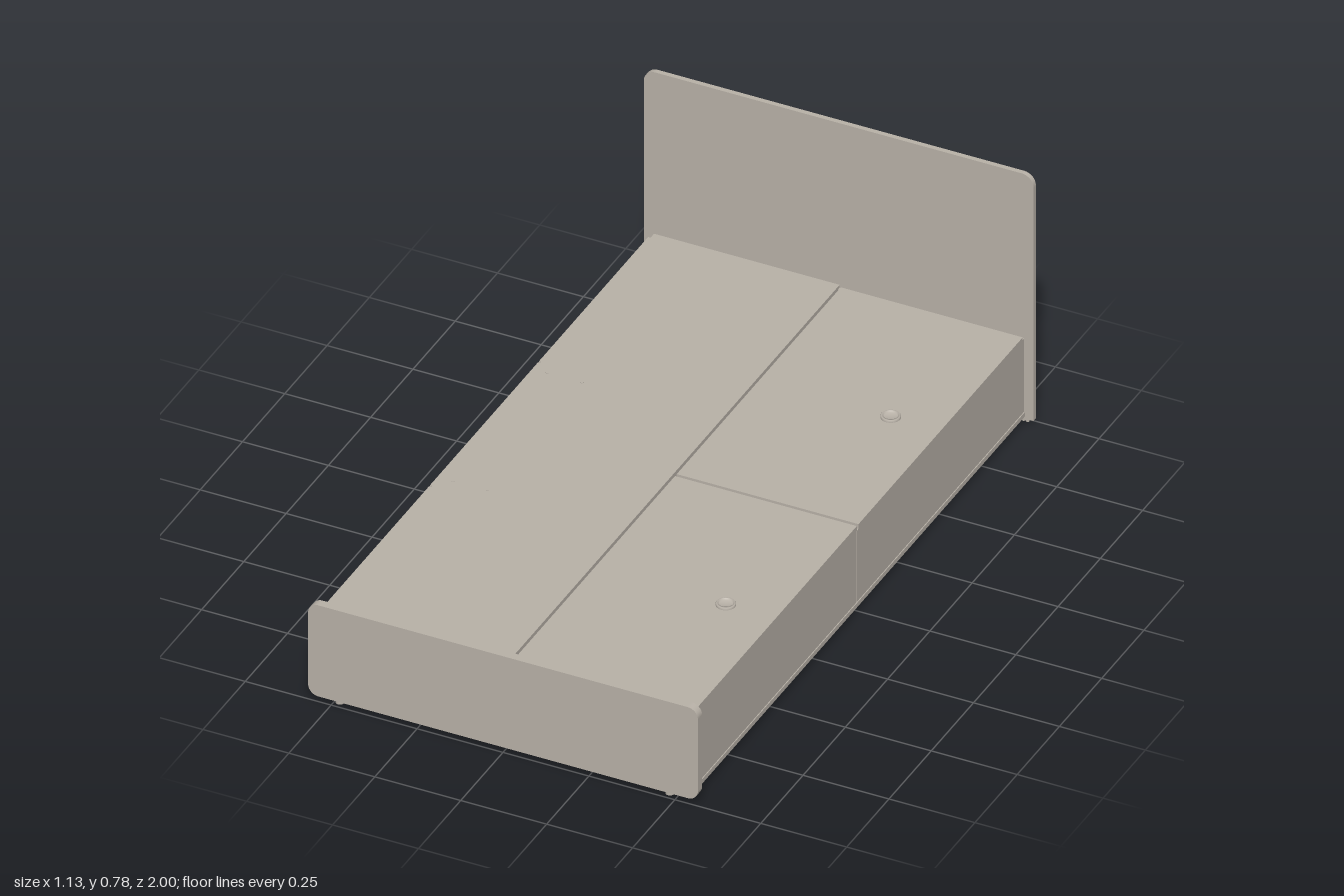
import * as THREE from 'three';

export function createModel() {
  const bed = new THREE.Group();
  bed.name = 'bed';
  const board = new THREE.MeshStandardMaterial({ color: 0xb9b2a8 });
  board.name = 'warm grey board';

  function add(name, geometry, x = 0, y = 0, z = 0) {
    const mesh = new THREE.Mesh(geometry, board);
    mesh.name = name;
    mesh.position.set(x, y, z);
    bed.add(mesh);
    return mesh;
  }
  // Box given by its lower and upper limits
  function panel(name, x0, x1, y0, y1, z0, z1) {
    return add(name, new THREE.BoxGeometry(x1 - x0, y1 - y0, z1 - z0),
      (x0 + x1) / 2, (y0 + y1) / 2, (z0 + z1) / 2);
  }
  // Upright end board with rounded corners: top radius rt, bottom radius rb
  function endBoard(name, w, y0, y1, rt, rb, z0, z1, holes = []) {
    const s = new THREE.Shape();
    s.moveTo(-w + rb, y0);
    s.lineTo(w - rb, y0);
    if (rb) s.absarc(w - rb, y0 + rb, rb, -Math.PI / 2, 0);
    s.lineTo(w, y1 - rt);
    s.absarc(w - rt, y1 - rt, rt, 0, Math.PI / 2);
    s.lineTo(-w + rt, y1);
    s.absarc(-w + rt, y1 - rt, rt, Math.PI / 2, Math.PI);
    s.lineTo(-w, y0 + rb);
    if (rb) s.absarc(-w + rb, y0 + rb, rb, Math.PI, Math.PI * 1.5);
    const g = new THREE.ExtrudeGeometry(s, { depth: z1 - z0, bevelEnabled: false, curveSegments: 10 });
    add(name, g, 0, 0, z0);
    // Screw caps on the back face
    for (const [x, y] of holes) {
      const cap = add('screwCap', new THREE.CylinderGeometry(0.005, 0.005, 0.002, 10), x, y, z0);
      cap.rotation.x = Math.PI / 2;
    }
  }

  // Headboard and footboard
  const screws = [];
  for (const s of [-1, 1]) {
    for (const y of [0.135, 0.2, 0.225]) screws.push([s * 0.54, y]);
    for (const y of [0.105, 0.23]) screws.push([s * 0.44, y]);
    screws.push([s * 0.12, 0.225]);
  }
  endBoard('headboard', 0.567, 0.01, 0.78, 0.035, 0, -0.999, -0.985, screws);
  endBoard('footboard', 0.567, 0.016, 0.303, 0.03, 0.03, 0.975, 1);

  // Fixed platform over the drawers
  panel('platform', -0.537, 0.003, 0.256, 0.271, -0.985, 0.975);
  for (const x of [-0.5, -0.4]) for (const z of [-0.28, 0.28])
    add('platformScrew', new THREE.CylinderGeometry(0.005, 0.005, 0.002, 10), x, 0.271, z);

  // Storage side: two lids, floor panels, side panels and handle rings
  const ring = [[0.027, 0], [0.027, 0.005], [0.025, 0.007], [0.02, 0.007], [0.019, 0.001], [0, 0.001]]
    .map(([r, y]) => new THREE.Vector2(r, y));
  for (const [z0, z1] of [[-0.976, -0.005], [0.005, 0.968]]) {
    panel('storageLid', 0.011, 0.54, 0.256, 0.271, z0, z1);
    panel('storageFloor', 0.003, 0.525, 0.022, 0.032, z0, z1);
    panel('sidePanel', 0.525, 0.54, 0.032, 0.256, z0 < -0.5 ? -0.985 : 0.008, z0 < -0.5 ? 0.004 : 0.975);
    add('lidRing', new THREE.LatheGeometry(ring, 24), 0.395, 0.271, z0 < -0.5 ? -0.49 : 0.485);
  }
  panel('sideRail', 0.525, 0.542, 0.017, 0.031, -0.985, 0.975);
  panel('centreWall', -0.01, 0.003, 0.02, 0.256, -0.985, 0.975);
  panel('crossWall', 0.003, 0.525, 0.032, 0.25, -0.008, 0.008);
  // Narrow ledges at the ends of the lids
  panel('headLedge', 0.003, 0.54, 0.245, 0.262, -0.985, -0.974);
  panel('footLedge', 0.003, 0.54, 0.245, 0.262, 0.965, 0.975);

  // Three drawer fronts
  for (const [z0, z1] of [[-0.976, -0.331], [-0.326, 0.314], [0.319, 0.966]])
    panel('drawerFront', -0.55, -0.537, 0.022, 0.262, z0, z1);

  // Low feet under the end boards
  for (const x of [-0.535, 0, 0.535]) {
    panel('headFoot', x - 0.018, x + 0.018, 0.004, 0.01, -0.998, -0.986);
    for (const d of [-0.012, 0, 0.012])
      add('footStud', new THREE.CylinderGeometry(0.005, 0.005, 0.005, 10), x + d, 0.0025, -0.992);
  }
  for (const x of [-0.48, 0.48])
    add('frontFoot', new THREE.CylinderGeometry(0.012, 0.012, 0.008, 16), x, 0.012, 0.988);

  return bed;
}
